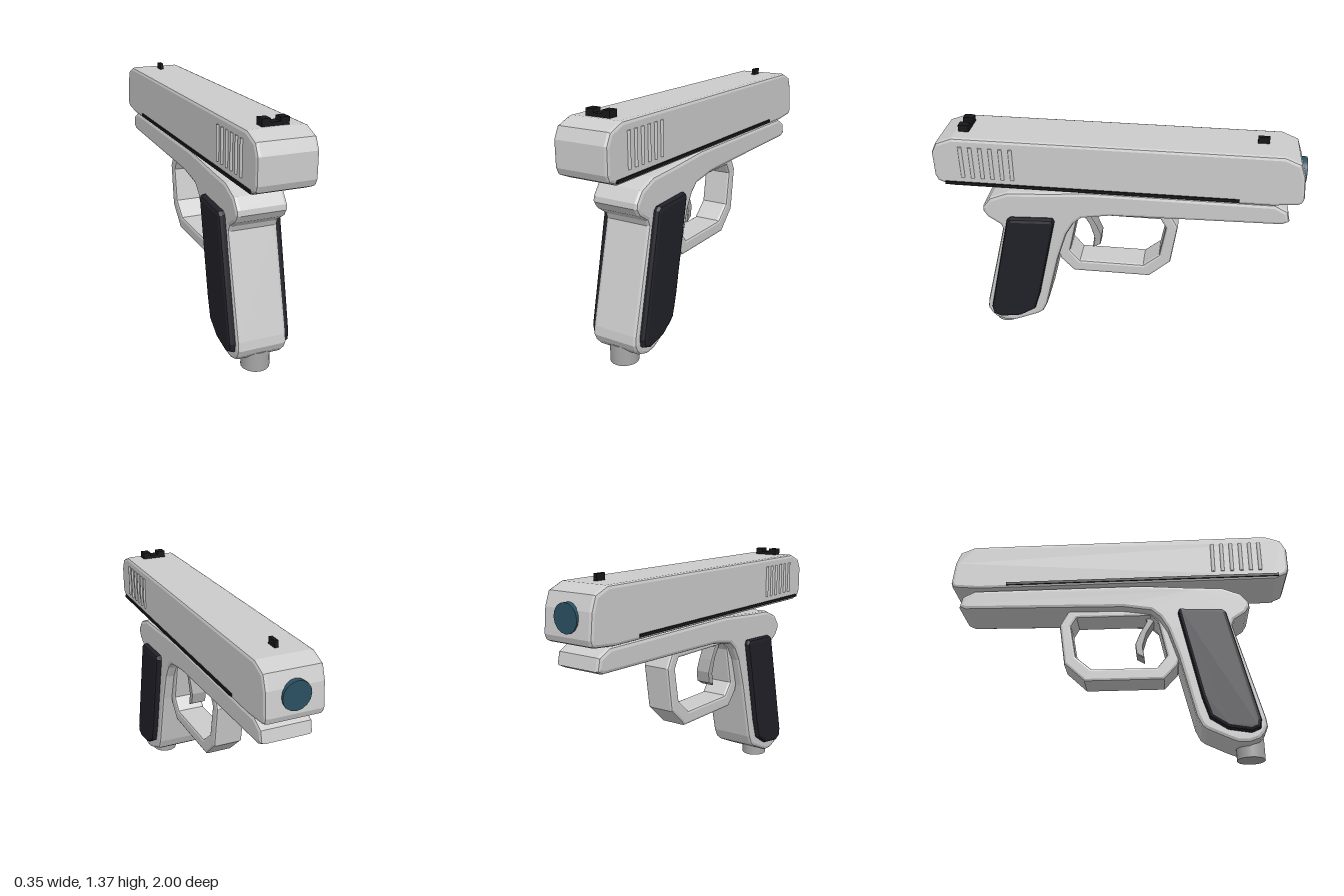
import * as THREE from 'three';

const grey = new THREE.MeshStandardMaterial({ color: 0xcccccc });
const darkGrey = new THREE.MeshStandardMaterial({ color: 0xa6a6a6 });
const black = new THREE.MeshStandardMaterial({ color: 0x17171a });
const gripDark = new THREE.MeshStandardMaterial({ color: 0x202028 });
const teal = new THREE.MeshStandardMaterial({ color: 0x2a5062 });

// Side profile given as [z, y] points, extruded across x with a bevelled rim
// (outline runs clockwise, hole anticlockwise)
function profile(name, points, halfWidth, bevel, material, hole) {
  const toVec = ([z, y]) => new THREE.Vector2(z, y);
  const shape = new THREE.Shape(points.map(toVec));
  if (hole) shape.holes.push(new THREE.Path(hole.map(toVec)));
  const depth = 2 * (halfWidth - bevel);
  const geo = new THREE.ExtrudeGeometry(shape, {
    depth, bevelSize: bevel, bevelThickness: bevel, bevelOffset: -bevel, bevelSegments: 2,
  });
  geo.translate(0, 0, -depth / 2).rotateY(-Math.PI / 2);
  const mesh = new THREE.Mesh(geo, material);
  mesh.name = name;
  return mesh;
}

function place(name, geometry, pos, material) {
  const mesh = new THREE.Mesh(geometry, material);
  mesh.position.set(...pos);
  mesh.name = name;
  return mesh;
}

const box = (name, size, pos, material) => place(name, new THREE.BoxGeometry(...size), pos, material);

export function createModel() {
  const model = new THREE.Group();
  model.name = 'model';

  // Upper slide
  model.add(profile('slide', [
    [0.92, 1.037], [0.985, 1.065], [1, 1.10], [1, 1.235], [0.97, 1.295], [0.88, 1.33],
    [-0.87, 1.33], [-0.955, 1.295], [-0.983, 1.22], [-0.997, 1.09], [-0.987, 1.06], [-0.965, 1.05], [-0.83, 1.037],
  ], 0.156, 0.018, grey));

  // Frame and grip in one outline
  model.add(profile('frame', [
    [0.757, 0.90], [0.714, 0.957], [0.61, 1.0], [0.436, 1.01], [0.14, 1.033], [-0.853, 1.033],
    [-0.925, 0.995], [-0.94, 0.93], [-0.9, 0.91], [-0.4, 0.90], [0.035, 0.89], [0.195, 0.863],
    [0.243, 0.82], [0.287, 0.743], [0.342, 0.57], [0.427, 0.214], [0.455, 0.155], [0.48, 0.135],
    [0.596, 0.08], [0.64, 0.062], [0.7, 0.06], [0.757, 0.08], [0.785, 0.11], [0.803, 0.15], [0.797, 0.2],
    [0.655, 0.755], [0.667, 0.785], [0.735, 0.83], [0.76, 0.87],
  ], 0.139, 0.02, grey));

  // Grip panels, one slab showing on both sides
  model.add(profile('gripPanels', [
    [0.62, 0.83], [0.60, 0.847], [0.358, 0.858], [0.348, 0.834], [0.46, 0.315], [0.497, 0.195],
    [0.59, 0.133], [0.714, 0.112], [0.762, 0.133], [0.769, 0.18],
  ], 0.173, 0.02, gripDark));

  // Trigger guard and trigger
  model.add(profile('triggerGuard', [
    [0.27, 0.88], [0.347, 0.57], [0.336, 0.535], [0.26, 0.453], [-0.19, 0.453],
    [-0.309, 0.565], [-0.343, 0.813], [-0.286, 0.92],
  ], 0.085, 0.015, grey, [
    [0.19, 0.856], [-0.243, 0.856], [-0.275, 0.80], [-0.243, 0.61],
    [-0.152, 0.53], [0.222, 0.53], [0.278, 0.6], [0.233, 0.813],
  ]));
  model.add(profile('trigger', [
    [0.15, 0.604], [0.14, 0.68], [0.165, 0.765], [0.21, 0.84], [0.21, 0.88],
    [0.16, 0.88], [0.165, 0.84], [0.125, 0.765], [0.097, 0.695], [0.104, 0.63],
  ], 0.045, 0.008, darkGrey));

  // Round cap under the grip
  model.add(place('gripCap', new THREE.CylinderGeometry(0.077, 0.077, 0.11, 24), [0, 0.055, 0.715], darkGrey));

  // Muzzle disc
  const muzzleShape = new THREE.CylinderGeometry(0.075, 0.075, 0.04, 16).rotateX(Math.PI / 2);
  model.add(place('muzzle', muzzleShape, [0, 1.18, -0.98], teal));

  // Side strips and rounded grip ribs on both sides of the slide
  const ribShape = new THREE.CylinderGeometry(0.011, 0.011, 0.185, 10);
  for (const s of [1, -1]) {
    model.add(box('sideStrip', [0.02, 0.016, 1.6], [s * 0.154, 1.061, 0.14], black));
    for (let i = 0; i < 6; i++) {
      model.add(place('slideRib', ribShape, [s * 0.154, 1.19, 0.837 - i * 0.0546], grey));
    }
  }

  // Notched rear sight and front sight
  const rearSight = new THREE.Group();
  rearSight.name = 'rearSight';
  rearSight.add(box('sightBase', [0.14, 0.03, 0.056], [0, 1.333, 0.833], black));
  for (const s of [1, -1]) rearSight.add(box('sightPost', [0.045, 0.04, 0.056], [s * 0.0475, 1.347, 0.833], black));
  model.add(rearSight);
  model.add(box('frontSight', [0.02, 0.045, 0.06], [0, 1.343, -0.763], black));

  return model;
}
